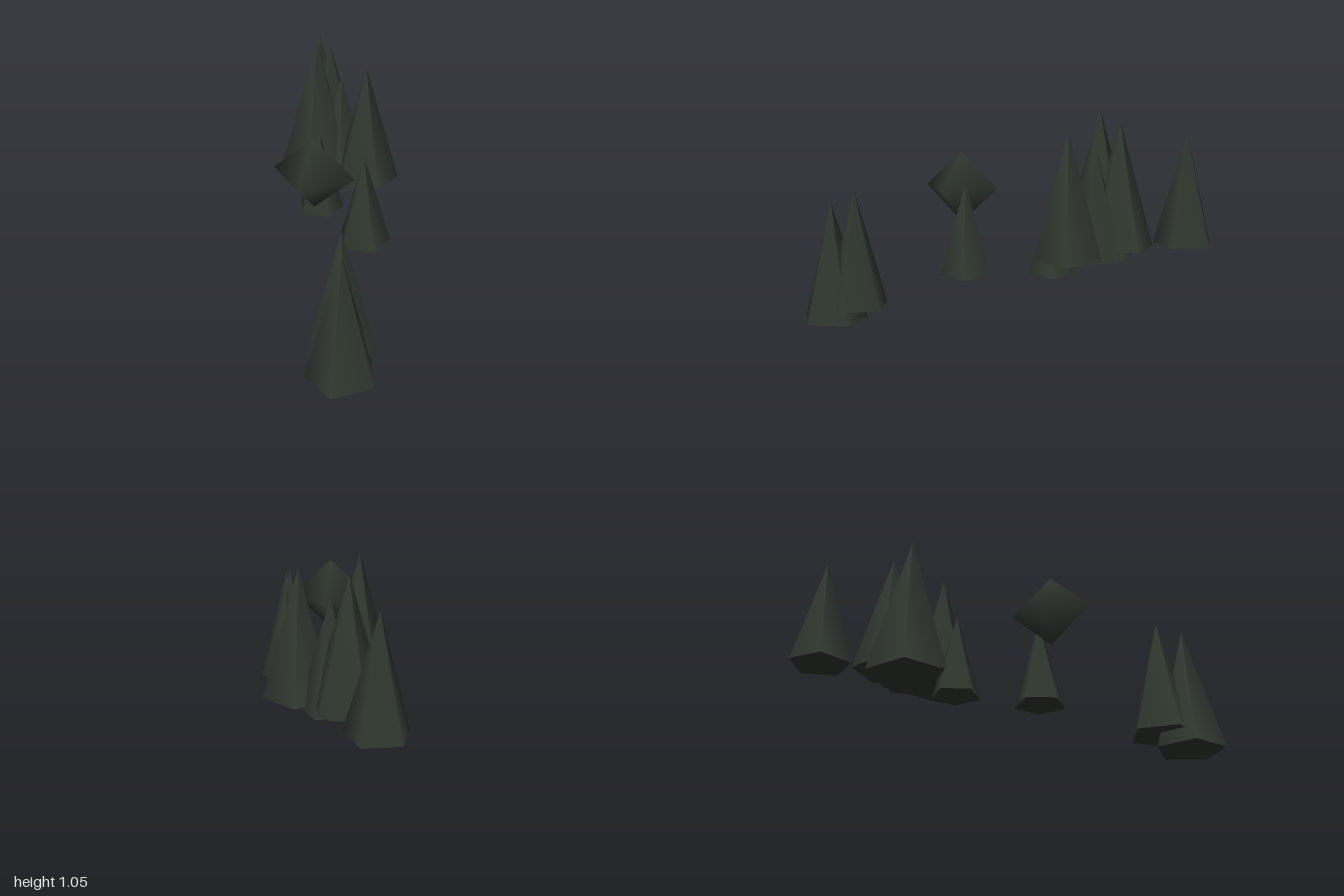
import * as THREE from 'three';

export function createModel() {
  const group = new THREE.Group();
  const foliage = new THREE.MeshStandardMaterial({ color: 0x30382f });
  foliage.name = 'darkFoliage';

  // five-sided pines: [x, z, base y, apex y, radius, turn in degrees]
  const pines = [
    [-0.04, 0.845, 0.0, 0.595, 0.164, -20],
    [-0.035, 0.727, 0.07, 0.645, 0.163, -1],
    [0.1, 0.17, 0.27, 0.71, 0.127, 18],
    [-0.09, -0.23, 0.235, 0.64, 0.117, 20],
    [0.143, -0.308, 0.36, 0.96, 0.168, 18],
    [-0.092, -0.457, 0.34, 1.05, 0.198, -18],
    [-0.022, -0.55, 0.39, 0.99, 0.173, -23],
    [0.028, -0.44, 0.34, 0.865, 0.147, -5],
    [-0.064, -0.868, 0.4, 0.935, 0.148, -8],
  ];
  pines.forEach(([x, z, y0, y1, r, turn], i) => {
    const pine = new THREE.Mesh(new THREE.ConeGeometry(r, y1 - y0, 5), foliage);
    pine.name = `pineTree${i + 1}`;
    pine.position.set(x, (y0 + y1) / 2, z);
    pine.rotation.y = THREE.MathUtils.degToRad(turn);
    group.add(pine);
  });

  // faceted round crown: a four-sided, two-ring ball with smooth normals
  const crown = new THREE.Mesh(new THREE.SphereGeometry(0.195, 4, 2), foliage);
  crown.name = 'roundCrown';
  crown.position.set(-0.133, 0.656, 0.213);
  crown.scale.y = 0.893;
  crown.rotation.y = THREE.MathUtils.degToRad(-23);
  group.add(crown);

  return group;
}
